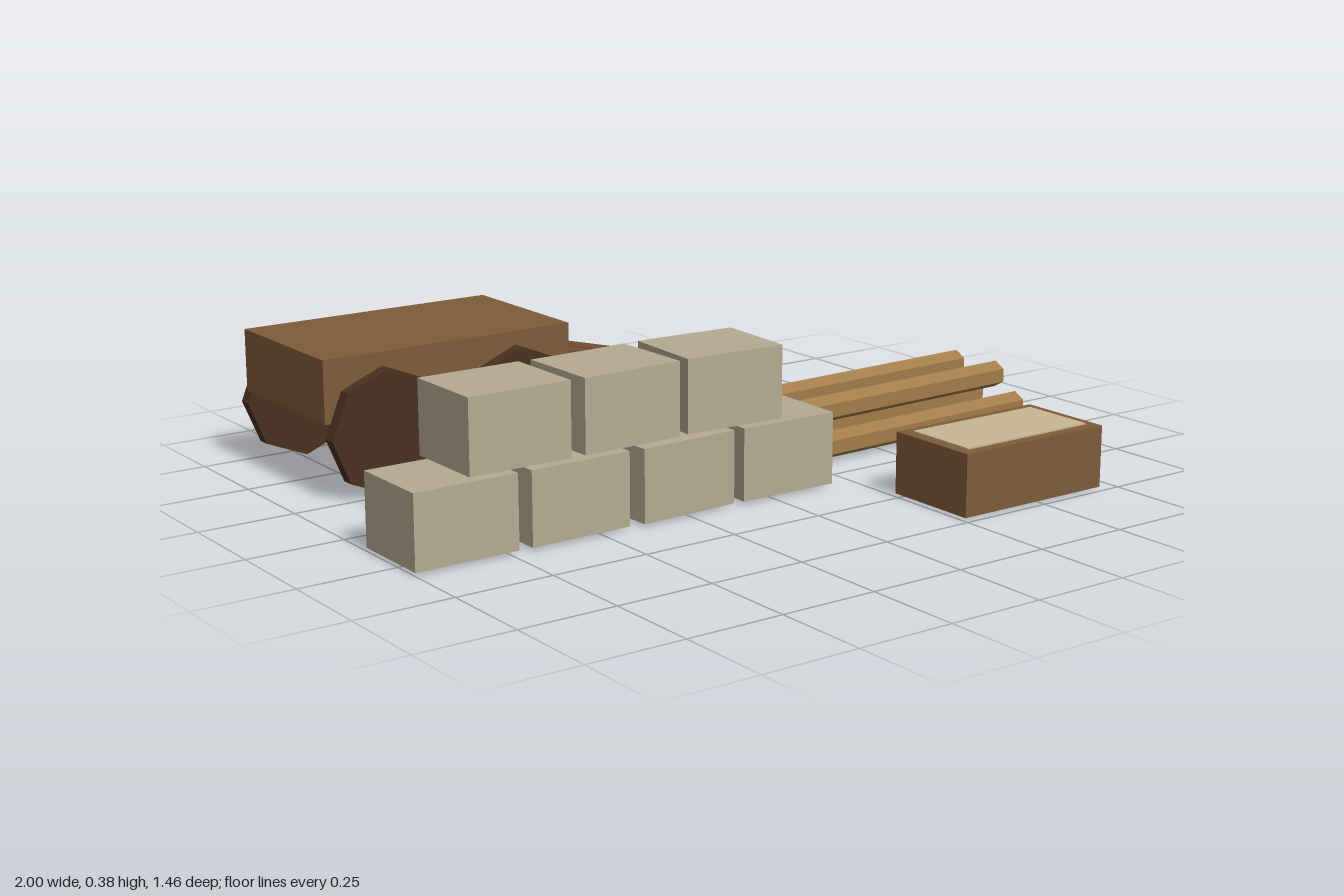
import * as THREE from 'three';

const mat = (color) => new THREE.MeshStandardMaterial({ color, flatShading: true });

export function createModel() {
  const model = new THREE.Group();
  const wood = mat(0x7f5b3a), darkWood = mat(0x4a3020), shaftWood = mat(0x6b4a2e);
  const logWood = mat(0xa37c4a), stone = mat(0xb5ab92), sand = mat(0xc8b894);

  const add = (parent, name, geometry, material, x, y, z) => {
    const mesh = new THREE.Mesh(geometry, material);
    mesh.name = name;
    mesh.position.set(x, y, z);
    parent.add(mesh);
    return mesh;
  };
  const group = (name) => {
    const g = new THREE.Group();
    g.name = name;
    model.add(g);
    return g;
  };
  // Six-sided pole between two points, one edge uppermost
  const pole = (parent, name, a, b, radius, material) => {
    const dir = b.clone().sub(a);
    const geo = new THREE.CylinderGeometry(radius, radius, dir.length(), 6);
    geo.rotateX(Math.PI / 2);
    const mid = a.clone().add(b).multiplyScalar(0.5);
    const mesh = add(parent, name, geo, material, mid.x, mid.y, mid.z);
    mesh.lookAt(b);
  };

  // Cart: bed, four octagonal wheels, two sloping shafts
  const cart = group('cart');
  add(cart, 'cartBed', new THREE.BoxGeometry(0.7, 0.16, 0.42), wood, -0.545, 0.275, -0.49);
  const wheel = new THREE.CylinderGeometry(0.16, 0.16, 0.036, 8).rotateX(Math.PI / 2);
  for (const x of [-0.735, -0.355])
    for (const side of [-1, 1])
      add(cart, 'wheel', wheel, darkWood, x, 0.16, -0.49 + side * 0.227);
  for (const z of [-0.553, -0.427])
    pole(cart, 'shaft', new THREE.Vector3(-0.22, 0.261, z), new THREE.Vector3(0.417, 0.105, z), 0.02, shaftWood);

  // Stone blocks: two staggered courses, each block slightly askew
  const blocks = group('stoneBlocks');
  const block = new THREE.BoxGeometry(0.27, 0.183, 0.222);
  const courses = [
    { x: -0.864, y: 0.099, turns: [0, 0.01, 0.04, -0.02] },
    { x: -0.72, y: 0.293, turns: [0, 0.02, -0.055] },
  ];
  for (const { x, y, turns } of courses)
    turns.forEach((turn, i) => {
      add(blocks, 'stoneBlock', block, stone, x + i * 0.304, y, 0.216).rotation.y = turn;
    });

  // Logs: five, alternating low and high
  const logs = group('logs');
  for (let i = 0; i < 5; i++) {
    const y = i % 2 ? 0.111 : 0.041, z = -0.17 + i * 0.08;
    pole(logs, 'log', new THREE.Vector3(-0.03, y, z), new THREE.Vector3(1, y, z - 0.034), 0.036, logWood);
  }

  // Crate with a pale fill just above its rim
  const crate = group('crate');
  add(crate, 'crateBox', new THREE.BoxGeometry(0.445, 0.157, 0.254), wood, 0.485, 0.0815, 0.602);
  add(crate, 'crateFill', new THREE.BoxGeometry(0.39, 0.02, 0.195), sand, 0.485, 0.154, 0.602);

  return model;
}
